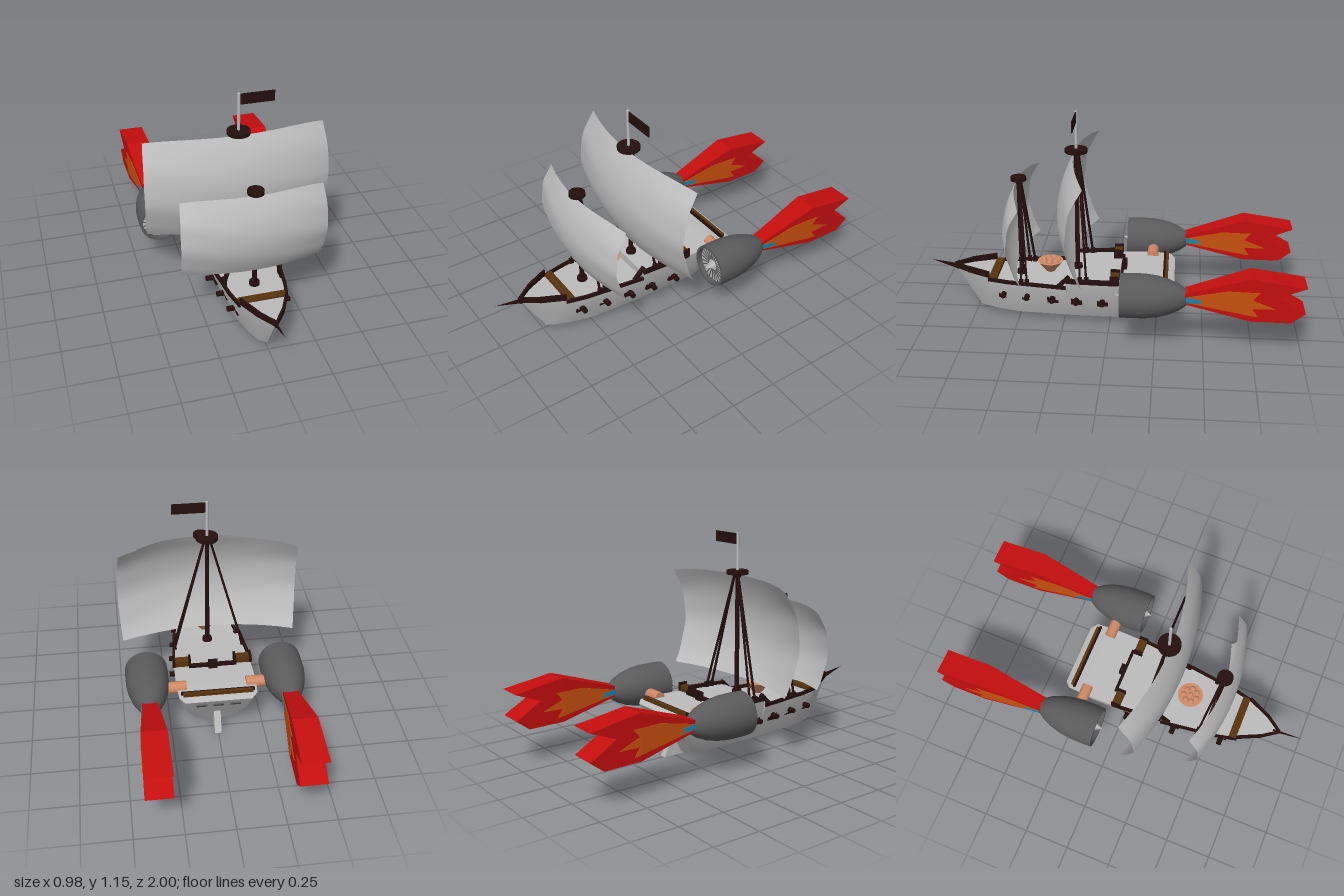
import * as THREE from 'three';
import { toCreasedNormals } from 'three/addons/utils/BufferGeometryUtils.js';

const paint = (name, color, side = THREE.FrontSide) => {
  const m = new THREE.MeshStandardMaterial({ color, side });
  m.name = name;
  return m;
};

export function createModel() {
  const ship = new THREE.Group();
  ship.name = 'flyingShip';
  const pale = paint('paleGrey', 0xbcbcbc);
  const canvas = paint('canvasGrey', 0xbfbfbf, THREE.DoubleSide);
  const dark = paint('darkWood', 0x240f0e);
  const brown = paint('brownWood', 0x58340f);
  const steel = paint('engineGrey', 0x5a5a5a);
  const copper = paint('copper', 0xcf8a66);
  const red = paint('flameRed', 0xc40e0e);
  const orange = paint('flameOrange', 0xc9500f);
  const blue = paint('flameBlue', 0x1286b4);

  const add = (name, geo, mat, x = 0, y = 0, z = 0, parent = ship) => {
    const m = new THREE.Mesh(geo, mat);
    m.name = name;
    m.position.set(x, y, z);
    parent.add(m);
    return m;
  };
  const box = (name, w, h, d, mat, x, y, z) => add(name, new THREE.BoxGeometry(w, h, d), mat, x, y, z);
  // Straight beam from a to b
  const bar = (name, a, b, w, mat, h = w) => {
    const p = new THREE.Vector3(...a), q = new THREE.Vector3(...b);
    const m = add(name, new THREE.BoxGeometry(w, h, p.distanceTo(q)), mat);
    m.position.copy(p).add(q).multiplyScalar(0.5);
    m.lookAt(q);
    return m;
  };

  // Hull stations: deck z, deck half width, deck y, bottom z, bottom half width, keel y
  const stations = [
    [-0.345, 0.175, 0.255, -0.21, 0.1, 0.012], [-0.315, 0.207, 0.268, -0.2, 0.112, 0.006],
    [-0.2, 0.215, 0.27, -0.14, 0.128, 0], [0, 0.21, 0.266, 0, 0.13, 0],
    [0.23, 0.188, 0.263, 0.22, 0.125, 0.003], [0.23, 0.188, 0.218, 0.22, 0.125, 0.003],
    [0.55, 0.145, 0.22, 0.5, 0.105, 0.008], [0.66, 0.12, 0.224, 0.62, 0.075, 0.01],
    [0.66, 0.12, 0.24, 0.62, 0.075, 0.01], [0.78, 0.06, 0.246, 0.705, 0.04, 0.014],
    [0.86, 0.003, 0.25, 0.737, 0.003, 0.018],
  ];
  const verts = [], index = [], N = 7;
  for (const [zt, wt, yt, zb, wb, yk] of stations) {
    const yb = 0.032, mid = 0.6;
    const wm = wb + (wt - wb) * mid + 0.012 * Math.min(1, wt / 0.1), ym = yb + (0.24 - yb) * mid, zm = zb + (zt - zb) * mid;
    verts.push(wt, yt, zt, wm, ym, zm, wb, yb, zb, 0, yk, zb, -wb, yb, zb, -wm, ym, zm, -wt, yt, zt);
  }
  for (let i = 0; i < stations.length - 1; i++) for (let j = 0; j < N; j++) {
    const k = (j + 1) % N, a = i * N + j, b = i * N + k;
    index.push(a, a + N, b + N, a, b + N, b);
  }
  for (let j = 1; j < N - 1; j++) index.push(0, j, j + 1);
  const hullGeo = new THREE.BufferGeometry();
  hullGeo.setAttribute('position', new THREE.Float32BufferAttribute(verts, 3));
  hullGeo.setIndex(index);
  add('hull', toCreasedNormals(hullGeo, 0.45), pale);

  // Rudder below the transom
  const extrudeSide = (pts, w) => {
    const g = new THREE.ExtrudeGeometry(new THREE.Shape(pts.map(p => new THREE.Vector2(...p))), { depth: 1, bevelEnabled: false });
    g.translate(0, 0, -0.5);
    g.rotateY(Math.PI / 2);
    const p = g.attributes.position;
    for (let i = 0; i < p.count; i++) p.setX(i, p.getX(i) * 2 * w(-p.getZ(i)));
    g.computeVertexNormals();
    return g;
  };
  add('rudder', extrudeSide([[0.19, 0.002], [0.315, 0.002], [0.262, 0.115], [0.24, 0.1]], () => 0.018), pale);
  for (const x of [-0.09, 0, 0.09]) box('sternWindow', 0.055, 0.018, 0.03, steel, x, 0.222, -0.318).rotation.x = -0.5;

  for (const s of [1, -1]) {
    // Rails following the deck edge
    const rail = [[0.212, 0.276, -0.05], [0.207, 0.273, 0.02], [0.188, 0.268, 0.23]];
    for (let i = 0; i < 2; i++) bar('quarterRail', [s * rail[i][0], rail[i][1], rail[i][2]], [s * rail[i + 1][0], rail[i + 1][1], rail[i + 1][2]], 0.014, dark, 0.026);
    bar('waistRail', [s * 0.188, 0.227, 0.23], [s * 0.146, 0.228, 0.55], 0.014, dark, 0.018);
    bar('waistRail', [s * 0.146, 0.228, 0.55], [s * 0.121, 0.23, 0.66], 0.014, dark, 0.018);
    bar('bowRail', [s * 0.12, 0.257, 0.655], [s * 0.061, 0.258, 0.78], 0.012, dark, 0.034);
    bar('bowRail', [s * 0.061, 0.258, 0.78], [0, 0.255, 0.865], 0.012, dark, 0.03);
    bar('deckStair', [s * 0.172, 0.225, 0.275], [s * 0.172, 0.285, 0.215], 0.02, dark);
    // Aft lockers with dark trim
    box('aftLocker', 0.075, 0.034, 0.045, brown, s * 0.168, 0.284, -0.03);
    box('lockerTrim', 0.012, 0.048, 0.05, dark, s * 0.124, 0.29, -0.03);
    box('lockerTrim', 0.012, 0.048, 0.05, dark, s * 0.21, 0.29, -0.03);
    // Cannon ports and barrels
    [0.575, 0.445, 0.305, 0.175, 0.035].forEach((z) => {
      const w = 0.207 - 0.105 * Math.max(0, z - 0.1);
      const side = w - 0.042 - 0.05 * Math.max(0, z - 0.3);
      box('gunPort', 0.04, 0.06, 0.06, dark, s * side, 0.153, z);
      const barrel = add('cannon', new THREE.CylinderGeometry(0.014, 0.017, 0.085, 10), dark, s * (side + 0.022), 0.153, z);
      barrel.rotation.z = -s * Math.PI / 2;
    });
  }
  // Deck fittings
  box('bowBench', 0.245, 0.02, 0.042, brown, 0, 0.236, 0.634);
  box('aftRail', 0.26, 0.022, 0.014, dark, 0, 0.278, -0.062);
  box('helm', 0.05, 0.05, 0.02, dark, 0, 0.292, -0.075);
  box('sternRail', 0.39, 0.016, 0.014, dark, 0, 0.278, -0.29);
  box('sternBench', 0.37, 0.024, 0.016, brown, 0, 0.277, -0.302);
  const sprit = add('bowsprit', new THREE.ConeGeometry(0.018, 0.17, 6), dark, 0, 0.262, 0.916);
  sprit.scale.x = 0.35;
  sprit.rotation.x = Math.PI / 2 - 0.24;
  box('stemPost', 0.01, 0.03, 0.02, dark, 0, 0.247, 0.855);

  // Copper bowl filled with balls
  add('bowl', new THREE.CylinderGeometry(0.07, 0.022, 0.062, 20), copper, 0, 0.269, 0.335);
  for (let i = 0; i < 8; i++) {
    const r = i ? 0.038 : 0, a = i * Math.PI * 2 / 7;
    add('ball', new THREE.SphereGeometry(0.017, 10, 8), copper, r * Math.cos(a), 0.298, 0.335 + r * Math.sin(a));
  }

  // Billowing sails
  const sail = (name, half, y0, y1, zFront, bulge, sweep) => {
    const g = new THREE.PlaneGeometry(2, 2, 20, 16), p = g.attributes.position;
    for (let i = 0; i < p.count; i++) {
      const u = p.getX(i), v = p.getY(i);
      const x = u * half * (1 - 0.03 * v * v);
      const y = (y0 + y1) / 2 + v * (y1 - y0) / 2 - Math.max(0, v) * 0.024 * u ** 4;
      const ripple = 0.003 * Math.sin(v * 9 + u * 3) * Math.abs(u);
      p.setXYZ(i, x, y, zFront - bulge * v * v - sweep * u * u + ripple);
    }
    g.computeVertexNormals();
    add(name, g, canvas);
  };
  sail('mainSail', 0.49, 0.355, 0.92, 0.28, 0.085, 0.088);
  sail('foreSail', 0.376, 0.315, 0.756, 0.572, 0.065, 0.065);

  // Masts, tops and rigging
  const mast = (z, y0, y1, r, w, dz) => {
    add('mast', new THREE.CylinderGeometry(0.011, 0.013, y1 - y0, 10), dark, 0, (y0 + y1) / 2, z);
    add('mastFoot', new THREE.CylinderGeometry(0.026, 0.028, 0.02, 14), dark, 0, y0 + 0.01, z);
    add('mastTop', new THREE.CylinderGeometry(r, r, 0.02, 20), dark, 0, y1, z);
    add('mastCollar', new THREE.CylinderGeometry(r * 0.5, 0.014, 0.022, 14), dark, 0, y1 - 0.02, z);
    for (const s of [1, -1]) for (const d of dz) {
      bar('shroud', [s * 0.014, y1 - 0.01, z - 0.008], [s * w, y0 + 0.01, z + d], 0.01, dark);
      box('shroudBlock', 0.018, 0.03, 0.022, dark, s * w, y0 + 0.015, z + d);
    }
  };
  mast(0.185, 0.263, 0.937, 0.06, 0.19, [-0.065, -0.03]);
  mast(0.495, 0.219, 0.773, 0.042, 0.15, [-0.05, -0.02]);
  add('flagPole', new THREE.CylinderGeometry(0.008, 0.008, 0.2, 10), pale, 0, 1.048, 0.185);
  box('flag', 0.178, 0.058, 0.005, dark, 0.096, 1.115, 0.185);

  // Engines with flames
  const profile = [[0, 0.03], [0.1, 0.03], [0.1, 0], [0.113, 0], [0.115, 0.05], [0.114, 0.13], [0.106, 0.19],
    [0.09, 0.25], [0.068, 0.3], [0.042, 0.337], [0, 0.337]].map(p => new THREE.Vector2(...p));
  const cowlGeo = toCreasedNormals(new THREE.LatheGeometry(profile, 32).rotateX(-Math.PI / 2), 0.6);
  const wFront = d => 0.04 + (d - 0.407) * 0.077, wBack = d => 0.065 + (d - 0.73) * 0.018;
  const plus = (f, e) => d => f(d) + e;
  const flameParts = [
    ['flame', [[0.4, 0.27], [0.73, 0.2], [0.73, 0.436], [0.4, 0.328]], wFront, red],
    ['flame', [[0.73, 0.2], [0.93, 0.2], [1, 0.255], [0.86, 0.338], [1, 0.395], [0.73, 0.436]], wBack, red],
    ['flameCore', [[0.407, 0.28], [0.61, 0.25], [0.73, 0.232], [0.73, 0.362], [0.61, 0.36], [0.407, 0.31]], plus(wFront, 0.003), orange],
    ['flameCore', [[0.73, 0.232], [0.765, 0.228], [0.735, 0.272], [0.85, 0.275], [0.735, 0.32], [0.77, 0.362], [0.73, 0.362]], plus(wBack, 0.003), orange],
    ['flameRoot', [[0.405, 0.283], [0.5, 0.28], [0.46, 0.292], [0.49, 0.3], [0.405, 0.31]], plus(wFront, 0.006), blue],
  ].map(([name, pts, w, mat]) => [name, extrudeSide(pts, w), mat]);

  for (const s of [1, -1]) {
    const x = s * 0.365, y = 0.29;
    const engine = new THREE.Group();
    engine.name = s > 0 ? 'leftEngine' : 'rightEngine';
    engine.position.set(x, y, -0.07);
    ship.add(engine);
    add('cowling', cowlGeo, steel, 0, 0, 0, engine);
    add('fanDisc', new THREE.CircleGeometry(0.099, 32), pale, 0, 0, -0.027, engine);
    for (let i = 0; i < 24; i++) {
      const a = i * Math.PI / 12;
      const gap = add('fanGap', new THREE.BoxGeometry(0.066, 0.004, 0.006), steel, 0.064 * Math.cos(a), 0.064 * Math.sin(a), -0.026, engine);
      gap.rotation.z = a;
    }
    add('spinner', new THREE.ConeGeometry(0.03, 0.055, 5).rotateX(Math.PI / 2), pale, 0, 0, -0.002, engine);
    for (const [name, geo, mat] of flameParts) add(name, geo, mat, x, 0, 0);
    // Copper strut to the hull
    const strut = add('engineStrut', new THREE.CylinderGeometry(0.031, 0.031, 0.14, 16), copper, s * 0.23, 0.268, -0.22);
    strut.rotation.z = Math.PI / 2;
  }
  return ship;
}
